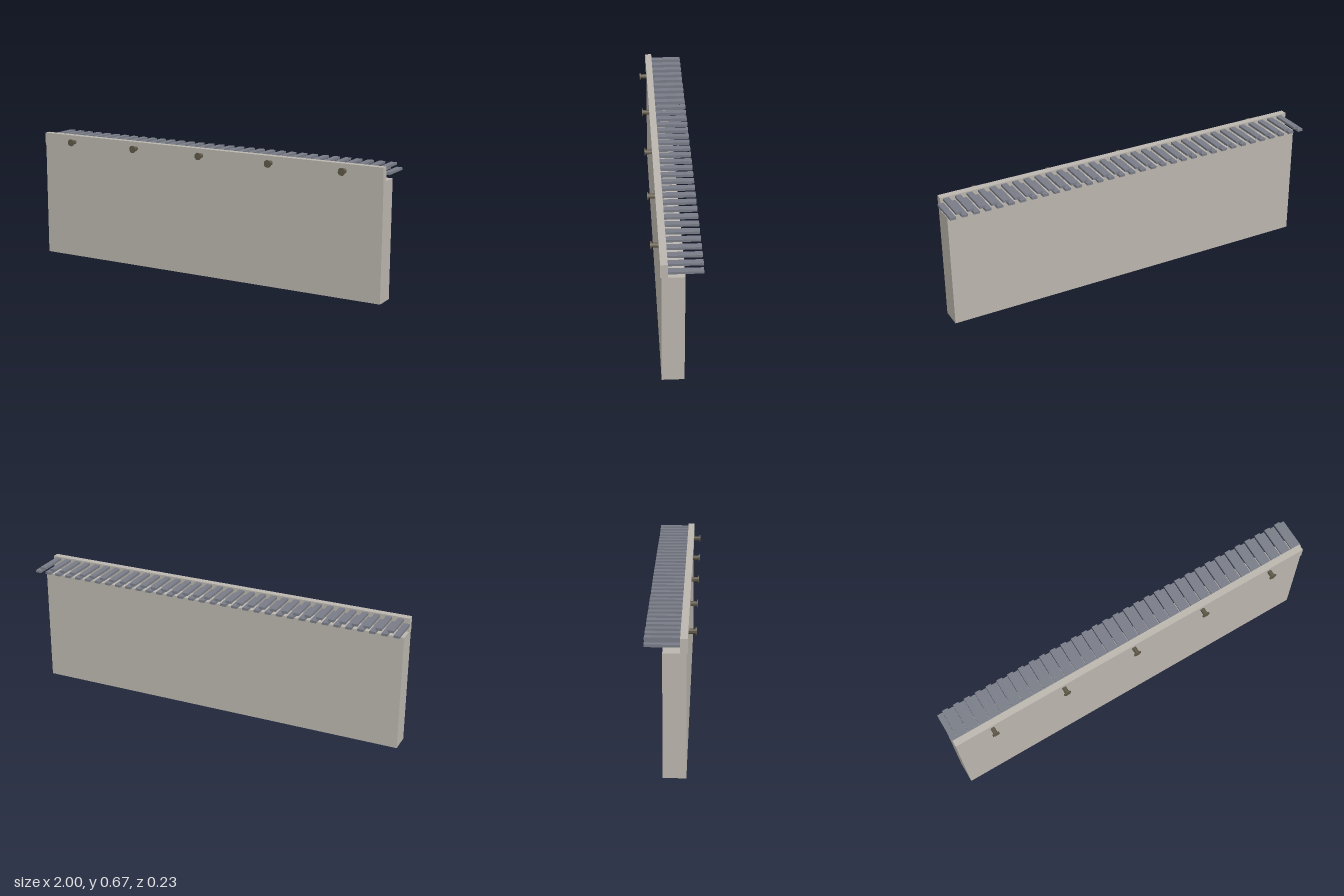
import * as THREE from 'three';

const mat = (name, color) => new THREE.MeshStandardMaterial({ name, color });

export function createModel() {
  const model = new THREE.Group();
  model.name = 'slattedWall';
  const stone = mat('warm grey', 0xbab5ad);
  const slatGrey = mat('slate grey', 0x787c86);
  const bronze = mat('dark bronze', 0x5f5848);
  bronze.flatShading = true;

  // Box given by its lower and upper limits on each axis
  const box = (name, material, [x0, x1], [y0, y1], [z0, z1], parent = model) => {
    const mesh = new THREE.Mesh(new THREE.BoxGeometry(x1 - x0, y1 - y0, z1 - z0), material);
    mesh.position.set((x0 + x1) / 2, (y0 + y1) / 2, (z0 + z1) / 2);
    mesh.name = name;
    parent.add(mesh);
  };

  // Wall and the rail along its front top edge
  box('wall', stone, [-0.999, 0.985], [0, 0.597], [-0.034, 0.073]);
  box('rail', stone, [-0.999, 0.985], [0.597, 0.666], [0.044, 0.078]);

  // Slats reaching backwards, alternating between a lower and an upper row
  const slats = new THREE.Group();
  slats.name = 'slats';
  model.add(slats);
  const count = 67, pitch = 2 / count;
  for (let i = 0; i < count; i++) {
    const x = -1 + i * pitch;
    const upper = i % 2 === 1;
    box(upper ? 'upperSlat' : 'lowerSlat', slatGrey, [x, x + pitch],
      upper ? [0.648, 0.66] : [0.626, 0.638], [-0.115, 0.044], slats);
  }

  // Pegs with wide heads on the front of the rail
  const cylinder = (name, radius, z0, z1, parent) => {
    const geometry = new THREE.CylinderGeometry(radius, radius, z1 - z0, 8);
    geometry.rotateY(Math.PI / 8).rotateX(Math.PI / 2);
    const mesh = new THREE.Mesh(geometry, bronze);
    mesh.position.z = (z0 + z1) / 2;
    mesh.name = name;
    parent.add(mesh);
  };
  for (let i = 0; i < 5; i++) {
    const peg = new THREE.Group();
    peg.name = 'peg';
    peg.position.set(-0.802 + i * 0.397, 0.632, 0);
    cylinder('pegShaft', 0.0118, 0.07, 0.109, peg);
    cylinder('pegHead', 0.0195, 0.109, 0.115, peg);
    model.add(peg);
  }
  return model;
}
